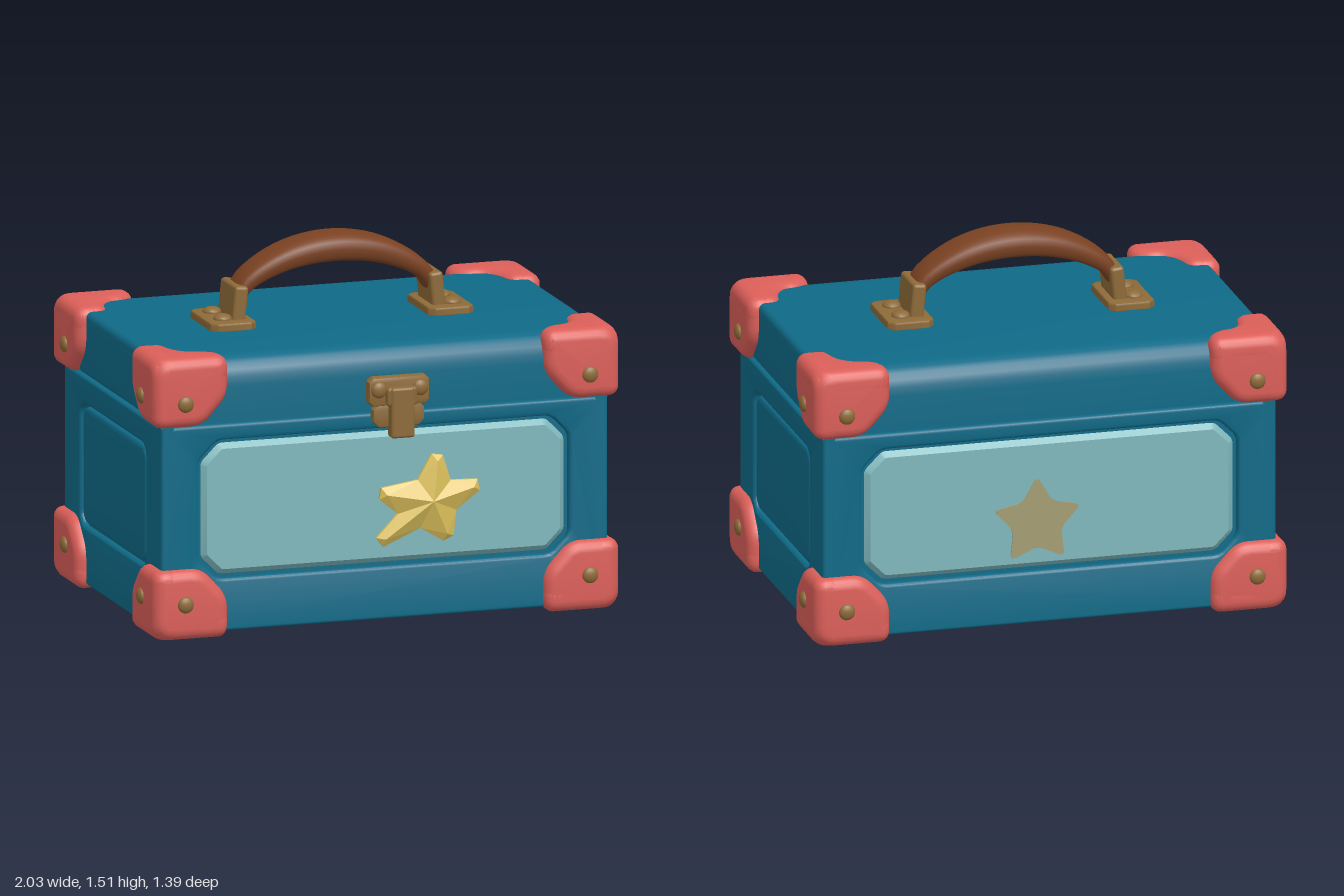
import * as THREE from 'three';
import { toCreasedNormals } from 'three/addons/utils/BufferGeometryUtils.js';
import { RoundedBoxGeometry } from 'three/addons/geometries/RoundedBoxGeometry.js';

const mat = (name, color) => {
  const m = new THREE.MeshStandardMaterial({ color });
  m.name = name;
  return m;
};

// closed outline with rounded corners; r is one radius or one per corner
function outline(pts, r = 0, target = new THREE.Shape()) {
  const P = pts.map(p => new THREE.Vector2(...p)), n = P.length;
  P.forEach((p, i) => {
    const a = P[(i + n - 1) % n], b = P[(i + 1) % n], q = Array.isArray(r) ? r[i] : r;
    const near = o => p.clone().lerp(o, Math.min(q / p.distanceTo(o), 0.45));
    const s = near(a), e = near(b);
    if (i === 0) target.moveTo(s.x, s.y); else target.lineTo(s.x, s.y);
    if (q > 0) target.quadraticCurveTo(p.x, p.y, e.x, e.y);
  });
  target.closePath();
  return target;
}

const rect = (x0, x1, y0, y1) => [[x0, y0], [x1, y0], [x1, y1], [x0, y1]];
const cutRect = (x0, x1, y0, y1, c) => [
  [x0 + c, y0], [x1 - c, y0], [x1, y0 + c], [x1, y1 - c],
  [x1 - c, y1], [x0 + c, y1], [x0, y1 - c], [x0, y0 + c]];

// bevelled slab, centred on its thickness
function slab(shape, thick, bevel, segs = 3, crease = 0.6) {
  const g = new THREE.ExtrudeGeometry(shape, {
    depth: thick - 2 * bevel, bevelEnabled: bevel > 0, bevelSize: bevel, bevelThickness: bevel,
    bevelOffset: -bevel, bevelSegments: segs, curveSegments: 6 });
  g.translate(0, 0, bevel - thick / 2);
  return toCreasedNormals(g, crease);
}
// slab drawn in (-z, y) facing x, or in (x, -z) facing y
const faceX = g => g.rotateY(Math.PI / 2);
const faceY = g => g.rotateX(-Math.PI / 2);

export function createModel() {
  const teal = mat('teal', 0x0f6a87), pale = mat('paleTeal', 0x7fb8bc), coral = mat('coral', 0xdc5f59);
  const brass = mat('brass', 0x8d6a38), leather = mat('leather', 0x7b4222);
  const gold = mat('gold', 0xdcc05c), faded = mat('fadedGold', 0xa59c72);

  const model = new THREE.Group();
  model.name = 'trunk';
  const box = new THREE.Group();
  box.name = 'case';
  box.position.z = -0.012;
  model.add(box);
  const add = (parent, name, geo, material, x = 0, y = 0, z = 0) => {
    const m = new THREE.Mesh(geo, material);
    m.name = name;
    m.position.set(x, y, z);
    parent.add(m);
    return m;
  };

  // body core and seam filler
  add(box, 'bodyCore', new THREE.BoxGeometry(1.86, 0.858, 1.19), teal, 0, 0.46, 0);
  add(box, 'seam', new THREE.BoxGeometry(1.86, 0.1, 1.2), teal, 0, 0.9, 0);

  // framed faces with inset panels
  for (const s of [1, -1]) {
    const wide = outline(rect(-0.955, 0.955, 0.03, 0.89));
    wide.holes.push(outline(cutRect(-0.795, 0.79, 0.248, 0.825, 0.08), 0.03, new THREE.Path()));
    add(box, 'longFrame', slab(wide, 0.06, 0.014), teal, 0, 0, s * 0.595);
    add(box, 'longPanel', slab(outline(cutRect(-0.785, 0.78, 0.258, 0.815, 0.08), 0.02), 0.06, 0.028, 1, 0.3),
      pale, 0, 0, s * 0.587);
    const end = outline(rect(-0.625, 0.625, 0.03, 0.89));
    end.holes.push(outline(cutRect(-0.42, 0.42, 0.27, 0.78, 0.035), 0.03, new THREE.Path()));
    add(box, 'endFrame', faceX(slab(end, 0.06, 0.014)), teal, s * 0.925, 0, 0);
    add(box, 'endPanel', faceX(slab(outline(cutRect(-0.408, 0.408, 0.282, 0.768, 0.035), 0.03), 0.06, 0.018)),
      teal, s * 0.92, 0, 0);
  }

  // lid with rounded long edges
  add(box, 'lid', faceX(slab(outline(rect(-0.625, 0.625, 0.9, 1.165), [0, 0, 0.12, 0.12]), 1.91, 0.025)), teal);

  // corner guards: three bevelled plates each, with rivets
  const X = 0.997, Z = 0.668, T = 0.12, a = 0.32, b = 0.29, c = 0.33;
  const stud = new THREE.SphereGeometry(0.034, 14, 10);
  const rivet = (parent, x, y, z, axis, r = 1) => {
    const m = add(parent, 'rivet', stud, brass, x, y, z);
    m.scale.setScalar(r);
    m.scale[axis] = 0.55 * r;
  };
  const square = w => [[0, 0], [w, 0], [w, 0.17], [w - 0.11, b], [0, b]];
  const angle = [[0, 0], [a, 0], [a, 0.11], [a - 0.06, 0.16], [0.2, 0.17], [0.16, 0.22], [0.14, c], [0, c]];
  for (const sx of [1, -1]) for (const sz of [1, -1]) for (const top of [true, false]) {
    const g = new THREE.Group();
    g.name = top ? 'upperCorner' : 'lowerCorner';
    box.add(g);
    const y0 = top ? 1.183 : 0.01, sy = top ? -1 : 1;
    const place = (pts, ox, dx, oy, dy) =>
      slab(outline(pts.map(([u, v]) => [ox + dx * u, oy + dy * v]), [0.09, ...Array(pts.length - 1).fill(0.05)]), T, 0.045, 4, 0.9);
    add(g, 'longPlate', place(square(a), sx * X, -sx, y0, sy), coral, 0, 0, sz * (Z - T / 2));
    add(g, 'endPlate', faceX(place(square(c), -sz * Z, sz, y0, sy)), coral, sx * (X - T / 2), 0, 0);
    add(g, 'flatPlate', faceY(place(angle, sx * X, -sx, -sz * Z, sz)), coral, 0, y0 + sy * T / 2, 0);
    const ry = top ? 0.995 : 0.16;
    rivet(g, sx * 0.865, ry, sz * Z, 'z');
    rivet(g, sx * X, ry + 0.01, sz * 0.49, 'x');
  }

  // handle: arched leather grip, swelling in the middle
  const handle = new THREE.Group();
  handle.name = 'handle';
  handle.position.x = -0.022;
  model.add(handle);
  const path = new THREE.CatmullRomCurve3([[-0.425, 1.25], [-0.38, 1.33], [-0.21, 1.424], [0, 1.457],
    [0.21, 1.424], [0.38, 1.33], [0.425, 1.25]].map(([x, y]) => new THREE.Vector3(x, y, 0)));
  const N = 28, M = 16, pos = [], idx = [];
  for (let i = 0; i <= N; i++) {
    const p = path.getPointAt(i / N), t = path.getTangentAt(i / N), k = Math.sin(Math.PI * i / N);
    const h = 0.026 + 0.033 * k, w = 0.07 + 0.03 * k;
    for (let j = 0; j < M; j++) {
      const q = j / M * 2 * Math.PI, soft = v => Math.sign(v) * Math.abs(v) ** 0.65;
      const u = h * soft(Math.sin(q)), v = w * soft(Math.cos(q));
      pos.push(p.x - t.y * u, p.y + t.x * u, v);
      if (i < N) {
        const A = i * M + j, B = i * M + (j + 1) % M;
        idx.push(A, A + M, B + M, A, B + M, B);
      }
    }
  }
  const grip = new THREE.BufferGeometry();
  grip.setAttribute('position', new THREE.Float32BufferAttribute(pos, 3));
  grip.setIndex(idx);
  grip.computeVertexNormals();
  add(handle, 'grip', grip, leather);

  // handle mounts
  for (const s of [1, -1]) {
    add(handle, 'mountPlate', faceY(slab(outline(cutRect(-0.097, 0.097, -0.155, 0.155, 0.025)), 0.04, 0.01, 2)),
      brass, s * 0.465, 1.178, 0);
    const clip = add(handle, 'mountClip', new RoundedBoxGeometry(0.058, 0.15, 0.2, 2, 0.014), brass, s * 0.422, 1.258, 0);
    clip.rotation.z = s * 0.1;
    for (const z of [0.068, -0.068]) rivet(handle, s * 0.49, 1.2, z, 'y', 1.15);
  }

  // front latch
  const latch = new THREE.Group();
  latch.name = 'latch';
  latch.position.set(0.05, 0, 0);
  model.add(latch);
  add(latch, 'latchPlate', slab(outline(cutRect(-0.13, 0.13, 0.925, 1.045, 0.018)), 0.06, 0.012, 2), brass, 0, 0, 0.625);
  add(latch, 'latchCatch', slab(outline(cutRect(-0.11, 0.11, 0.835, 0.935, 0.025)), 0.05, 0.01, 2), brass, 0, 0, 0.622);
  add(latch, 'latchTongue', new RoundedBoxGeometry(0.1, 0.21, 0.06, 2, 0.012), brass, 0.005, 0.9, 0.66);
  add(latch, 'latchHinge', new RoundedBoxGeometry(0.13, 0.08, 0.05, 2, 0.015), brass, 0.005, 0.965, 0.655);
  for (const x of [-0.088, 0.088]) rivet(latch, x, 0.995, 0.655, 'z');

  // front star: ridged arms with blunt tips around a raised centre
  const tips = [[0.225, 0.71], [0.41, 0.565], [0.275, 0.34], [-0.03, 0.345], [-0.03, 0.555]];
  const dips = [[0.28, 0.59], [0.305, 0.465], [0.15, 0.4], [0.055, 0.465], [0.14, 0.6]];
  const mid = [0.195, 0.515, 0.662], v = [];
  const tri = (...p) => p.forEach(q => v.push(...q));
  tips.forEach(([x, y], i) => {
    const dx = mid[0] - x, dy = mid[1] - y, l = Math.hypot(dx, dy);
    const ux = dx / l, uy = dy / l, e = 0.024;
    const ridge = [x + ux * 0.035, y + uy * 0.035, 0.637];
    const p = [...dips[(i + 4) % 5], 0.618], q = [...dips[i], 0.618];
    const t1 = [x + ux * 0.01 - uy * e, y + uy * 0.01 + ux * e, 0.618];
    const t2 = [x + ux * 0.01 + uy * e, y + uy * 0.01 - ux * e, 0.618];
    const side = (t1[0] - p[0]) ** 2 + (t1[1] - p[1]) ** 2 < (t2[0] - p[0]) ** 2 + (t2[1] - p[1]) ** 2;
    const [n, m] = side ? [t1, t2] : [t2, t1];
    tri(mid, ridge, p, ridge, n, p, ridge, m, n, mid, q, ridge, ridge, q, m);
    // skirt into the panel
    [[p, n], [n, m], [m, q]].forEach(([g, h]) => {
      const g0 = [g[0], g[1], 0.58], h0 = [h[0], h[1], 0.58];
      tri(g, h, h0, g, h0, g0);
    });
  });
  const star = new THREE.BufferGeometry();
  star.setAttribute('position', new THREE.Float32BufferAttribute(v, 3));
  star.computeVertexNormals();
  gold.side = THREE.DoubleSide;
  add(model, 'frontStar', star, gold);

  // faded flat star on the back panel
  const pts = Array.from({ length: 10 }, (_, i) => {
    const r = i % 2 ? 0.105 : 0.195, q = Math.PI / 2 + i * Math.PI / 5;
    return [r * Math.cos(q), r * Math.sin(q)];
  });
  add(model, 'backStar', slab(outline(pts, 0.03), 0.008, 0), faded, 0.05, 0.46, -0.63);
  return model;
}
